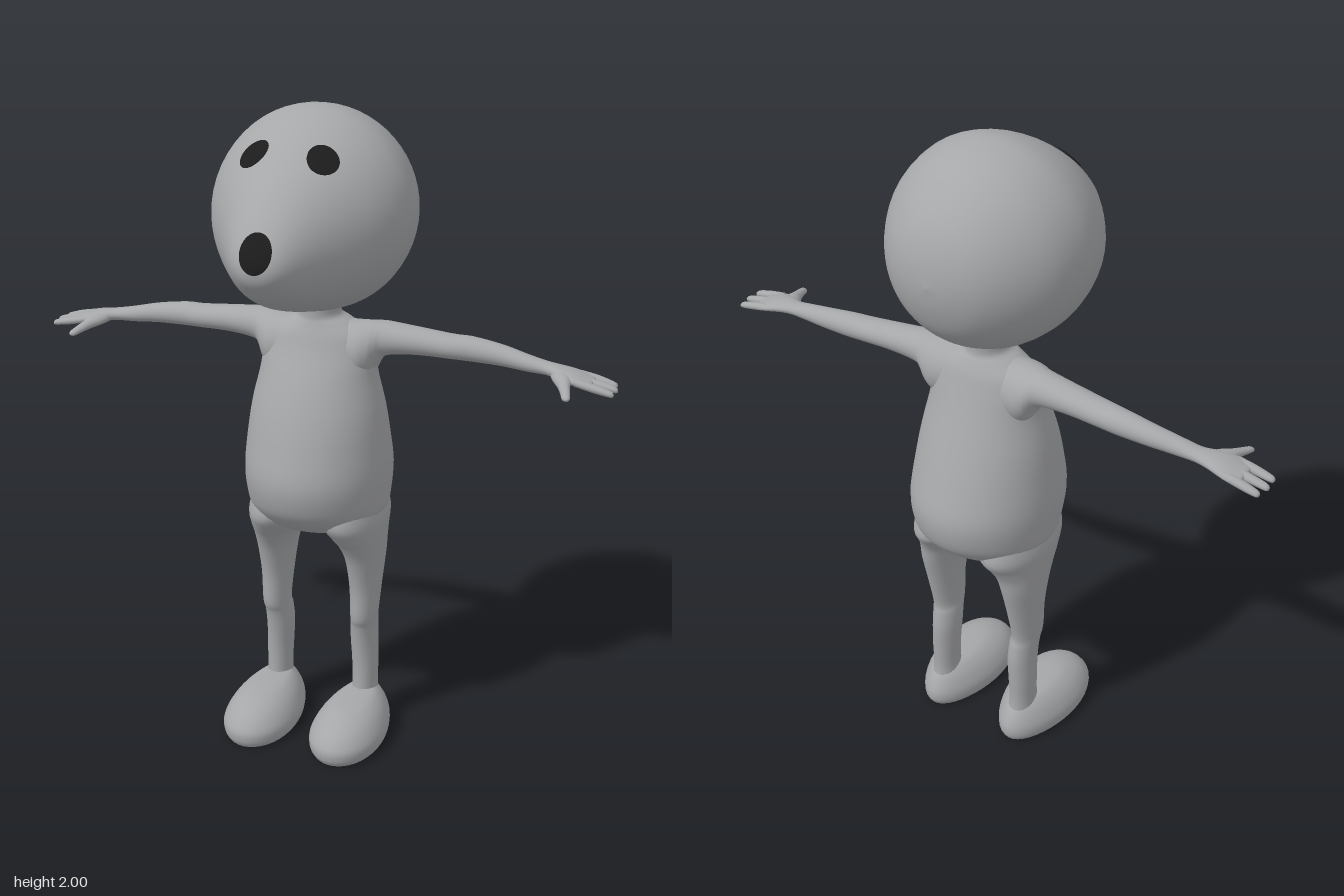
import * as THREE from 'three';

const grey = new THREE.MeshStandardMaterial({ color: 0xa6a7a9 });
grey.name = 'skin grey';
const black = new THREE.MeshStandardMaterial({ color: 0x1c1c1c });
black.name = 'feature black';

// Smooth interpolation of a list of equal-length rows, t in 0..rows-1
function sample(rows, t) {
  const i = Math.min(Math.floor(t), rows.length - 2), f = t - i;
  const at = k => rows[Math.max(0, Math.min(rows.length - 1, k))];
  const [p, q, r, s] = [at(i - 1), at(i), at(i + 1), at(i + 2)];
  return q.map((b, k) => b + 0.5 * f * (r[k] - p[k] +
    f * (2 * p[k] - 5 * b + 4 * r[k] - s[k] + f * (3 * (b - r[k]) + s[k] - p[k]))));
}

// Elliptical loft along an axis (0 x, 1 y, 2 z).
// Row: position, centre u, centre v, radius u, radius v (u, v = next two axes in cycle)
function loft(axis, rows, sides = 32, steps = 5) {
  const pos = [], idx = [], n = (rows.length - 1) * steps;
  const u = (axis + 1) % 3, v = (axis + 2) % 3;
  for (let i = 0; i <= n; i++) {
    const [h, cu, cv, ru, rv] = sample(rows, i / steps);
    for (let j = 0; j < sides; j++) {
      const a = j / sides * Math.PI * 2, p = [0, 0, 0];
      p[axis] = h;
      p[u] = cu + Math.max(0, ru) * Math.cos(a);
      p[v] = cv + Math.max(0, rv) * Math.sin(a);
      pos.push(...p);
      if (i < n) {
        const k = i * sides + j, l = i * sides + (j + 1) % sides;
        idx.push(k, l, l + sides, k, l + sides, k + sides);
      }
    }
  }
  const g = new THREE.BufferGeometry();
  g.setAttribute('position', new THREE.Float32BufferAttribute(pos, 3));
  g.setIndex(idx);
  g.computeVertexNormals();
  return g;
}

function mirror(geo) {
  const g = geo.clone(), a = g.index.array;
  g.scale(-1, 1, 1);
  for (let i = 0; i < a.length; i += 3) [a[i], a[i + 1]] = [a[i + 1], a[i]];
  g.computeVertexNormals();
  return g;
}

// Head profile: z, top, bottom, half width
const headRows = [
  [-0.387, 1.69, 1.69, 0], [-0.375, 1.77, 1.615, 0.08], [-0.34, 1.85, 1.535, 0.155],
  [-0.27, 1.925, 1.465, 0.225], [-0.18, 1.98, 1.42, 0.277], [-0.08, 2.0, 1.405, 0.297],
  [0.0, 1.985, 1.415, 0.29], [0.08, 1.948, 1.435, 0.262], [0.16, 1.895, 1.458, 0.215],
  [0.24, 1.832, 1.488, 0.16], [0.31, 1.765, 1.527, 0.113], [0.355, 1.71, 1.566, 0.077],
  [0.378, 1.665, 1.595, 0.042], [0.387, 1.628, 1.628, 0],
].map(([z, top, bottom, w]) => [z, 0, (top + bottom) / 2, w, (top - bottom) / 2]);

// Front surface of the head at (x, y), by bisection along the profile
function headZ(x, y) {
  let lo = 5, hi = headRows.length - 1;
  for (let i = 0; i < 30; i++) {
    const t = (lo + hi) / 2, [, , cy, w, h] = sample(headRows, t);
    const inside = w > 0 && h > 0 && (x / w) ** 2 + ((y - cy) / h) ** 2 < 1;
    if (inside) lo = t; else hi = t;
  }
  return sample(headRows, lo)[0];
}

// Thin oval laid on the head surface
function faceSpot(cx, cy, rx, ry, tilt) {
  const g = new THREE.RingGeometry(0, 1, 32, 8);
  g.scale(rx, ry, 1).rotateZ(tilt).translate(cx, cy, 0);
  const p = g.attributes.position;
  for (let i = 0; i < p.count; i++) {
    const x = p.getX(i), y = p.getY(i);
    p.setXYZ(i, x * 1.02, y + 0.003, headZ(x, y) + 0.004);
  }
  g.computeVertexNormals();
  return g;
}

export function createModel() {
  const model = new THREE.Group();
  model.name = 'figure';
  const add = (name, geo, mat = grey, parent = model) => {
    const m = new THREE.Mesh(geo, mat);
    m.name = name;
    parent.add(m);
  };
  const addPair = (name, geo) => {
    add('left' + name, geo);
    add('right' + name, mirror(geo));
  };

  // Head and face
  add('head', loft(2, headRows, 56, 6));
  add('leftEye', faceSpot(0.1, 1.888, 0.047, 0.027, -0.55), black);
  add('rightEye', faceSpot(-0.1, 1.888, 0.047, 0.027, 0.55), black);
  add('mouth', faceSpot(0, 1.675, 0.046, 0.054, 0), black);

  // Torso with neck: y, front z, back z, half width
  add('torso', loft(1, [
    [0.705, -0.11, -0.11, 0], [0.708, -0.02, -0.2, 0.1], [0.725, 0.045, -0.265, 0.175],
    [0.77, 0.1, -0.32, 0.211], [0.82, 0.132, -0.35, 0.22], [0.9, 0.145, -0.357, 0.225],
    [1.0, 0.122, -0.325, 0.217], [1.1, 0.09, -0.288, 0.204], [1.2, 0.048, -0.25, 0.182],
    [1.28, 0.008, -0.222, 0.172], [1.33, -0.012, -0.205, 0.15], [1.362, -0.026, -0.188, 0.1],
    [1.385, -0.032, -0.176, 0.064], [1.44, -0.03, -0.178, 0.07],
  ].map(([y, f, b, w]) => [y, (f + b) / 2, 0, (f - b) / 2, w]), 48));

  // Arms: x, top, bottom, front z, back z
  addPair('Arm', loft(0, [
    [0.06, 1.365, 1.2, -0.03, -0.19], [0.13, 1.366, 1.18, -0.025, -0.2],
    [0.165, 1.367, 1.2, -0.04, -0.197], [0.185, 1.367, 1.24, -0.058, -0.19],
    [0.21, 1.366, 1.265, -0.072, -0.184], [0.3, 1.357, 1.275, -0.085, -0.182],
    [0.4, 1.347, 1.274, -0.094, -0.183], [0.46, 1.345, 1.272, -0.103, -0.183],
    [0.55, 1.332, 1.27, -0.108, -0.176], [0.63, 1.315, 1.266, -0.104, -0.163],
    [0.69, 1.303, 1.265, -0.1, -0.158], [0.73, 1.298, 1.26, -0.082, -0.162],
    [0.77, 1.29, 1.254, -0.066, -0.17], [0.805, 1.278, 1.25, -0.064, -0.172],
    [0.825, 1.27, 1.252, -0.075, -0.162], [0.828, 1.261, 1.261, -0.118, -0.118],
  ].map(([x, t, b, f, k]) => [x, (t + b) / 2, (f + k) / 2, (t - b) / 2, (f - k) / 2])));

  // Three fingers and a thumb on each hand
  [[-0.157, 0.888], [-0.118, 0.897], [-0.077, 0.893]].forEach(([z, tip], i) => {
    addPair('Finger' + (i + 1), loft(0, [
      [0.78, 1.27, z, 0.011, 0.014], [0.83, 1.26, z, 0.012, 0.015],
      [tip - 0.02, 1.251, z, 0.01, 0.013], [tip - 0.004, 1.247, z, 0.007, 0.009],
      [tip, 1.246, z, 0, 0],
    ], 14, 4));
  });
  addPair('Thumb', loft(2, [
    [-0.12, 0.725, 1.278, 0.03, 0.016], [-0.08, 0.742, 1.272, 0.028, 0.017],
    [-0.045, 0.757, 1.264, 0.018, 0.014], [-0.01, 0.77, 1.256, 0.014, 0.011],
    [0.013, 0.777, 1.251, 0.011, 0.008], [0.02, 0.779, 1.25, 0, 0],
  ], 16, 4));

  // Legs: y, front z, back z, inner x, outer x
  addPair('Leg', loft(1, [
    [0.08, -0.08, -0.2, 0.105, 0.19], [0.14, -0.086, -0.192, 0.109, 0.187],
    [0.22, -0.087, -0.194, 0.106, 0.188], [0.3, -0.079, -0.196, 0.102, 0.187],
    [0.36, -0.068, -0.189, 0.104, 0.188], [0.4, -0.054, -0.184, 0.107, 0.191],
    [0.5, -0.05, -0.206, 0.101, 0.197], [0.6, -0.026, -0.231, 0.088, 0.206],
    [0.66, 0.004, -0.243, 0.068, 0.211], [0.7, 0.035, -0.262, 0.045, 0.214],
    [0.75, 0.065, -0.29, 0.02, 0.215], [0.82, 0.05, -0.27, 0.02, 0.2],
  ].map(([y, f, b, n, o]) => [y, (f + b) / 2, (n + o) / 2, (f - b) / 2, (o - n) / 2])));

  // Feet with flat soles, broader at the toes: y, centre z, half length, half width
  const foot = loft(1, [
    [0.002, -0.022, 0, 0], [0.002, -0.022, 0.1, 0.05], [0.002, -0.022, 0.186, 0.093],
    [0.006, -0.022, 0.198, 0.104], [0.025, -0.022, 0.207, 0.111], [0.055, -0.022, 0.205, 0.11],
    [0.09, -0.028, 0.182, 0.094], [0.115, -0.04, 0.148, 0.072], [0.13, -0.055, 0.1, 0.045],
    [0.134, -0.06, 0, 0],
  ].map(([y, z, l, w]) => [y, z, 0, l, w]), 40);
  const p = foot.attributes.position;
  for (let i = 0; i < p.count; i++) {
    p.setX(i, 0.147 + p.getX(i) * (1.02 + 0.7 * (p.getZ(i) + 0.022)));
  }
  foot.computeVertexNormals();
  addPair('Foot', foot);

  return model;
}
